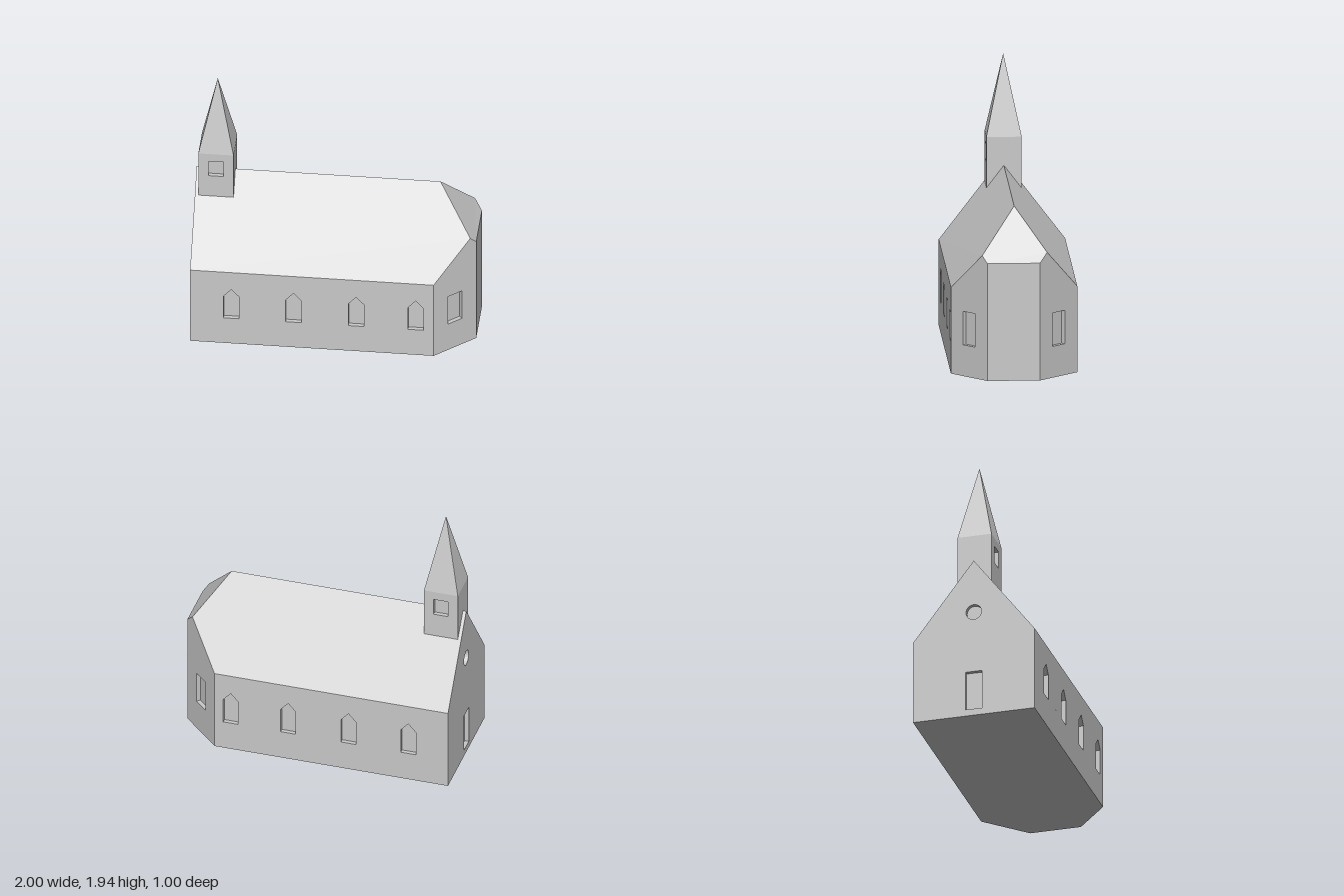
import * as THREE from 'three';

const DEPTH = 0.03; // depth of window and door recesses
const stone = new THREE.MeshStandardMaterial({ color: 0xc8c8c8, flatShading: true });
stone.name = 'pale grey';

function add(parent, geometry, name) {
  const mesh = new THREE.Mesh(geometry, stone);
  mesh.name = name;
  parent.add(mesh);
  return mesh;
}

const toPath = (pts) => pts.map(([x, y]) => new THREE.Vector2(x, y));

// Opening outlines, given on the wall plane
const rectangle = (x, w, y0, y1) =>
  [[x - w / 2, y0], [x + w / 2, y0], [x + w / 2, y1], [x - w / 2, y1]];
const pointed = (x) =>
  [[x - 0.054, 0.214], [x + 0.054, 0.214], [x + 0.054, 0.4], [x, 0.46], [x - 0.054, 0.4]];
const round = (x, y, r) => Array.from({ length: 24 }, (_, i) => {
  const a = (i / 24) * Math.PI * 2;
  return [x + r * Math.cos(a), y + r * Math.sin(a)];
});

// Wall from plan point a to b (left to right seen from outside), with recessed openings
function wall(parent, name, a, b, outline, openings = []) {
  const group = new THREE.Group();
  group.name = name;
  group.position.set(a[0], 0, a[1]);
  group.rotation.y = Math.atan2(-(b[1] - a[1]), b[0] - a[0]);
  parent.add(group);
  const shape = new THREE.Shape(toPath(outline));
  for (const pts of openings) shape.holes.push(new THREE.Path(toPath(pts)));
  const panel = new THREE.ExtrudeGeometry(shape, { depth: DEPTH, bevelEnabled: false });
  add(group, panel.translate(0, 0, -DEPTH), name + 'Panel');
  for (const pts of openings) {
    const back = new THREE.ShapeGeometry(new THREE.Shape(toPath(pts)));
    add(group, back.translate(0, 0, -DEPTH), name + 'Recess');
  }
}

// Flat convex face, corners counter-clockwise from outside
function face(parent, name, corners) {
  const pos = [];
  for (let i = 1; i < corners.length - 1; i++) {
    pos.push(...corners[0], ...corners[i], ...corners[i + 1]);
  }
  const g = new THREE.BufferGeometry();
  g.setAttribute('position', new THREE.Float32BufferAttribute(pos, 3));
  g.computeVertexNormals();
  add(parent, g, name);
}

const box = (w, y0, y1) => [[0, y0], [w, y0], [w, y1], [0, y1]];
const dist = (a, b) => Math.hypot(b[0] - a[0], b[1] - a[1]);
const at = ([x, z], y) => [x, y, z];
const mix = (a, b, t) => [a[0] + (b[0] - a[0]) * t, a[1] + (b[1] - a[1]) * t];

export function createModel() {
  const model = new THREE.Group();
  model.name = 'church';
  const church = new THREE.Group();
  church.name = 'churchBody';
  church.rotation.y = -0.074; // the building stands slightly askew
  model.add(church);

  // Plan corners
  const frontWest = [-0.97, 0.443], frontEast = [0.718, 0.443];
  const backWest = [-0.97, -0.43], backEast = [0.712, -0.43];
  const apseFront = [0.989, 0.205], apseBack = [0.99, -0.159];
  const eave = 0.605, ridge = 1.175, apseEave = 0.825, mid = 0.0065;

  // Long side walls with four pointed windows each
  const windows = [0.286, 0.717, 1.151, 1.565];
  const frontLen = dist(frontWest, frontEast), backLen = dist(backEast, backWest);
  wall(church, 'frontWall', frontWest, frontEast, box(frontLen, 0, eave), windows.map(pointed));
  wall(church, 'backWall', backEast, backWest, box(backLen, 0, eave),
    windows.map((s) => pointed(backLen - s)));

  // Gable wall with door and round window
  const w = dist(backWest, frontWest);
  wall(church, 'gableWall', backWest, frontWest,
    [[0, 0], [w, 0], [w, eave], [w / 2, ridge], [0, eave]],
    [rectangle(w / 2, 0.12, 0.048, 0.333), round(w / 2, 0.785, 0.056)]);

  // Three-sided apse
  const tF = 0.86, tB = 0.81, hipF = 0.874, hipB = 0.89;
  const lf = dist(frontEast, apseFront), lb = dist(apseBack, backEast);
  wall(church, 'apseFrontWall', frontEast, apseFront,
    [[0, 0], [lf, 0], [lf, apseEave], [tF * lf, hipF], [0, eave]],
    [rectangle(lf / 2, 0.12, 0.22, 0.455)]);
  wall(church, 'apseBackWall', apseBack, backEast,
    [[0, 0], [lb, 0], [lb, eave], [(1 - tB) * lb, hipB], [0, apseEave]],
    [rectangle(lb / 2, 0.126, 0.22, 0.455)]);
  wall(church, 'apseEndWall', apseFront, apseBack, box(dist(apseFront, apseBack), 0, apseEave));

  // Roof slopes and floor
  const ridgeWest = [-0.97, ridge, mid], ridgeEast = [0.72, ridge, mid];
  const hipFront = at(mix(frontEast, apseFront, tF), hipF);
  const hipBack = at(mix(backEast, apseBack, tB), hipB);
  face(church, 'frontRoof',
    [at(frontWest, eave), at(frontEast, eave), hipFront, ridgeEast, ridgeWest]);
  face(church, 'backRoof',
    [ridgeEast, hipBack, at(backEast, eave), at(backWest, eave), ridgeWest]);
  face(church, 'apseRoof',
    [at(apseFront, apseEave), at(apseBack, apseEave), hipBack, ridgeEast, hipFront]);
  face(church, 'floor',
    [frontWest, backWest, backEast, apseBack, apseFront, frontEast].map((p) => at(p, 0)));

  // Bell tower astride the ridge, windows on front and back
  const half = 0.122, size = half * 2, cx = -0.824, cz = 0.005, top = 1.375;
  const plan = [[-1, 1], [1, 1], [1, -1], [-1, -1]].map(([x, z]) => [cx + x * half, cz + z * half]);
  ['Front', 'East', 'Back', 'West'].forEach((side, i) => {
    wall(church, 'tower' + side, plan[i], plan[(i + 1) % 4], box(size, 1.0, top),
      i % 2 ? [] : [rectangle(half, 0.106, 1.19, 1.313)]);
  });

  // Pyramid spire
  const spire = add(church, new THREE.ConeGeometry(half * Math.SQRT2, 0.565, 4), 'spire');
  spire.rotation.y = Math.PI / 4;
  spire.position.set(cx, top + 0.2825, cz);

  return model;
}
